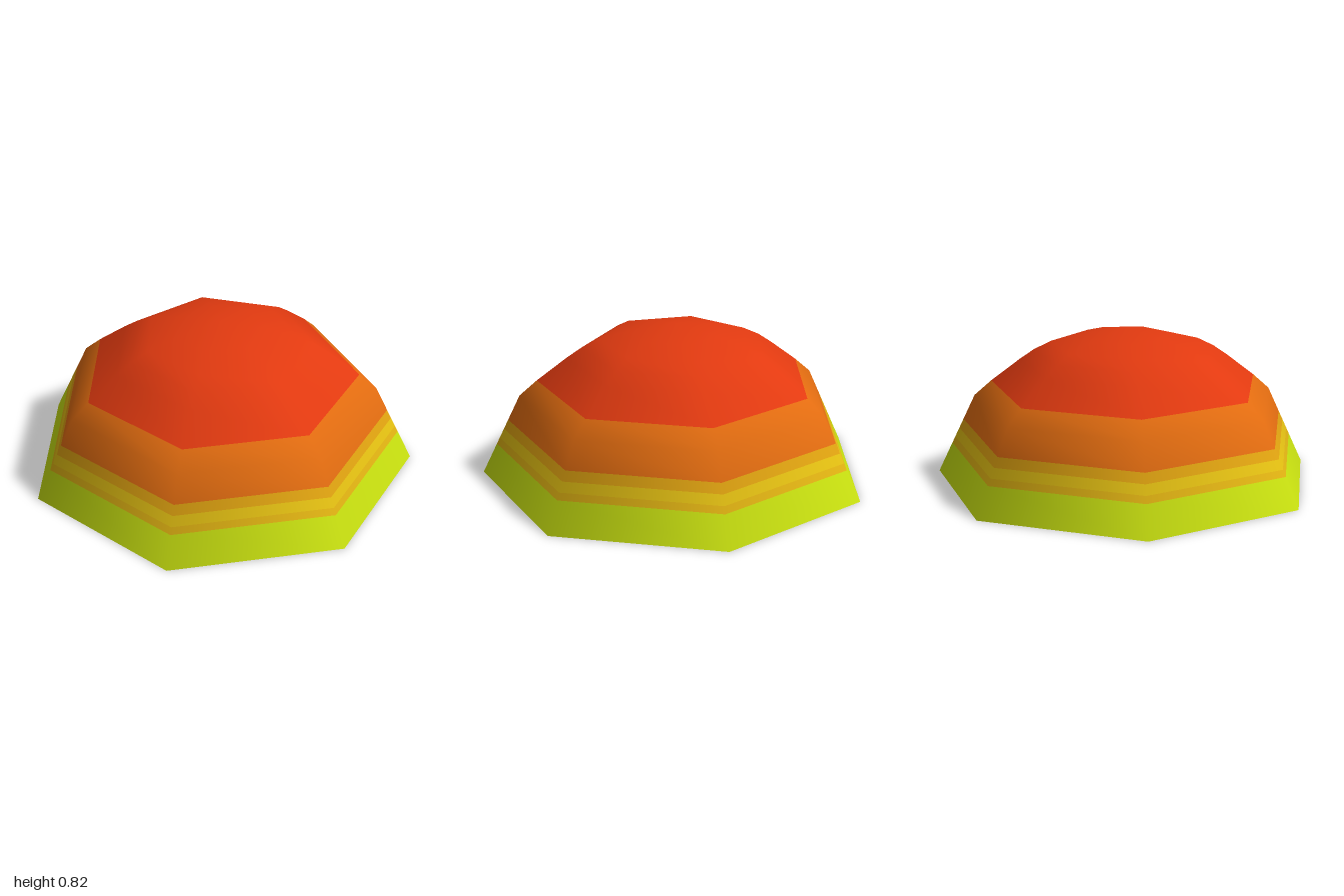
import * as THREE from 'three';

const paint = (name, color) => {
  const m = new THREE.MeshStandardMaterial({ color, side: THREE.DoubleSide });
  m.name = name;
  return m;
};

export function createModel() {
  const group = new THREE.Group();
  group.name = 'dome';

  const materials = [
    paint('lime', 0xc8e010),
    paint('gold', 0xe0b212),
    paint('yellow', 0xe4c012),
    paint('amber', 0xe0a310),
    paint('orange', 0xe26c10),
    paint('red', 0xe23a10),
  ];

  // Profile rings: radius, height, and the colour of the band above each ring
  const rim = 1.026, slope = (1.026 - 0.82) / 0.43;
  const wall = (y) => rim - slope * y;
  const rings = [
    [rim, 0, 0], [wall(0.16), 0.16, 1], [wall(0.195), 0.195, 2], [wall(0.245), 0.245, 3],
    [wall(0.295), 0.295, 4], [0.82, 0.43, 4], [0.727, 0.513, 5], [0.57, 0.635, 5],
    [0.492, 0.69, 5], [0.4, 0.737, 5], [0.245, 0.778, 5], [0, 0.82, 5],
  ];

  // Seven-sided open shell with smooth normals
  const sides = 7, n = rings.length;
  const geometry = new THREE.LatheGeometry(
    rings.map(([r, y]) => new THREE.Vector2(r, y)), sides, -Math.PI / 2);
  for (let i = 0; i <= sides; i++) geometry.attributes.normal.setXYZ(i * n + n - 1, 0, 1, 0);

  // Faces ring by ring, one colour group per band
  const index = [];
  geometry.clearGroups();
  for (let j = 0; j < n - 1; j++) {
    const start = index.length;
    for (let i = 0; i < sides; i++) {
      const a = i * n + j, b = a + n;
      index.push(a, b, a + 1);
      if (j < n - 2) index.push(b, b + 1, a + 1);
    }
    geometry.addGroup(start, index.length - start, rings[j][2]);
  }
  geometry.setIndex(index);

  const shell = new THREE.Mesh(geometry, materials);
  shell.name = 'domeShell';
  shell.position.x = 0.051; // centres the uneven heptagon
  group.add(shell);
  return group;
}
